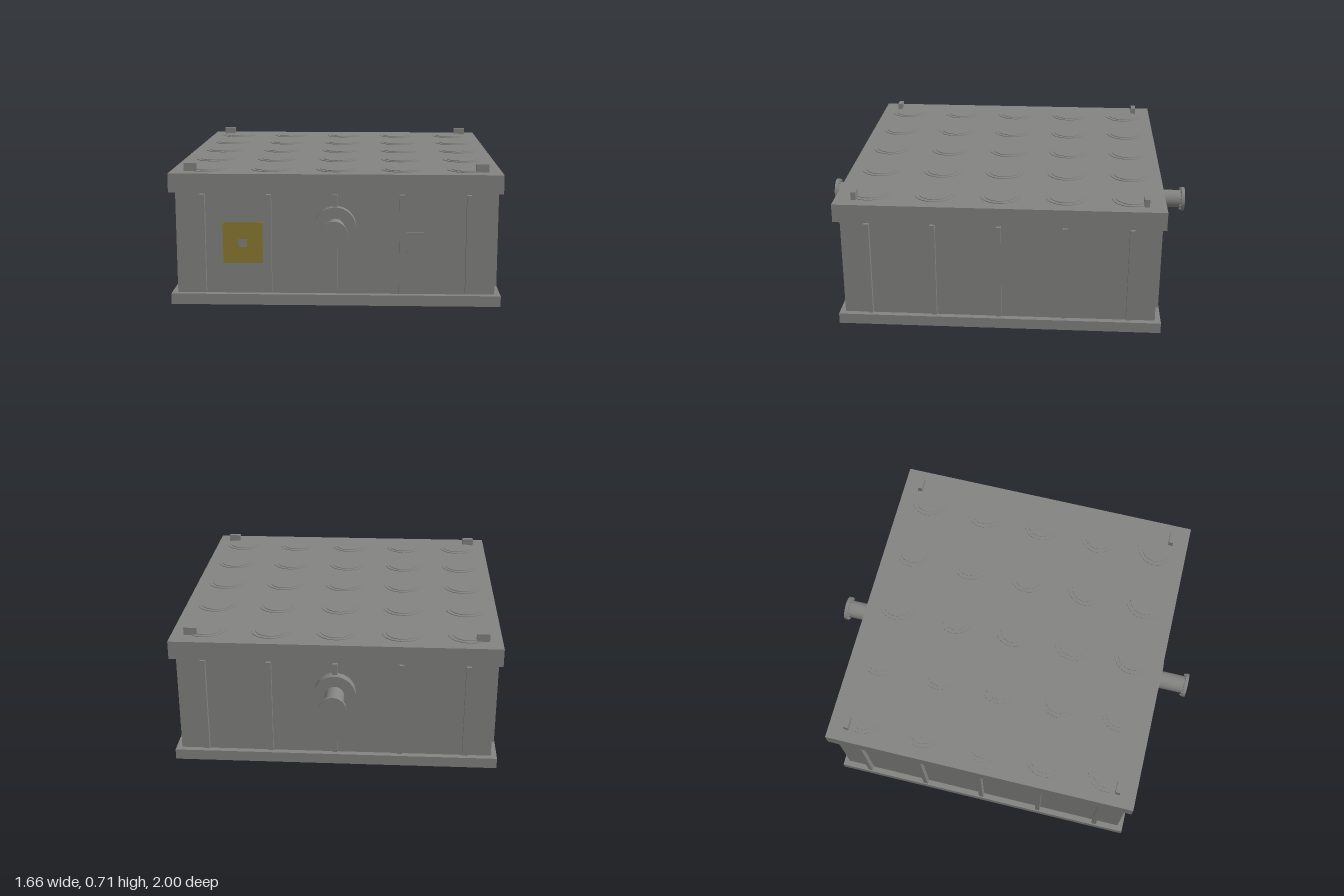
import * as THREE from 'three';

export function createModel() {
  const model = new THREE.Group();
  model.name = 'tank';
  const steel = new THREE.MeshStandardMaterial({ color: 0x848482 });
  steel.name = 'grey steel';
  const ochre = new THREE.MeshStandardMaterial({ color: 0x8e7b32 });
  ochre.name = 'ochre';

  function add(name, geometry, x, y, z, parent = model, material = steel) {
    const mesh = new THREE.Mesh(geometry, material);
    mesh.name = name;
    mesh.position.set(x, y, z);
    parent.add(mesh);
    return mesh;
  }
  const box = (w, h, d) => new THREE.BoxGeometry(w, h, d);
  const disc = (r, h) => new THREE.CylinderGeometry(r, r, h, 32);
  const disc90 = (r, h) => disc(r, h).rotateX(Math.PI / 2);

  // Casing
  add('base', box(1.66, 0.055, 1.66), 0, 0.0275, 0);
  add('body', box(1.6, 0.52, 1.6), 0, 0.315, 0);
  add('lid', box(1.66, 0.095, 1.66), 0, 0.6225, 0);

  // Upright ribs on all four walls, stepped caps on the lid
  const pitch = 0.332;
  for (let i = -2; i <= 2; i++) {
    for (const s of [-1, 1]) {
      add('rib', box(0.025, 0.5, 0.03), i * pitch, 0.315, s * 0.81);
      add('rib', box(0.03, 0.5, 0.025), s * 0.81, 0.315, i * pitch);
    }
    for (let j = -2; j <= 2; j++) {
      add('capRim', disc(0.103, 0.003), i * pitch, 0.6715, j * pitch);
      add('cap', disc(0.082, 0.006), i * pitch, 0.673, j * pitch);
    }
  }

  // Lifting lugs at the lid corners
  for (const sx of [-1, 1]) for (const sz of [-1, 1]) {
    add('liftingLug', box(0.065, 0.04, 0.025), sx * 0.7325, 0.69, sz * 0.7325);
  }

  // Pipe connections, front and back
  for (const turn of [0, Math.PI]) {
    const pipe = new THREE.Group();
    pipe.name = 'pipeConnection';
    pipe.rotation.y = turn;
    pipe.position.y = 0.402;
    model.add(pipe);
    add('wallFlange', disc90(0.105, 0.05), 0, 0, 0.82, pipe);
    add('pipe', disc90(0.049, 0.2), 0, 0, 0.89, pipe);
    add('endFlange', disc90(0.067, 0.018), 0, 0, 0.991, pipe);
    for (let k = 0; k < 8; k++) {
      const a = (k + 0.5) * Math.PI / 4;
      add('bolt', new THREE.CylinderGeometry(0.006, 0.006, 0.01, 6).rotateX(Math.PI / 2),
        Math.cos(a) * 0.057, Math.sin(a) * 0.057, 0.978, pipe);
    }
  }

  // Ochre sign with a small grey centre, and a plain plate on the front wall
  add('sign', box(0.2, 0.208, 0.006), -0.465, 0.315, 0.803, model, ochre);
  add('signCentre', box(0.042, 0.042, 0.003), -0.465, 0.315, 0.807);
  add('plate', box(0.215, 0.26, 0.006), 0.465, 0.245, 0.803);

  return model;
}
